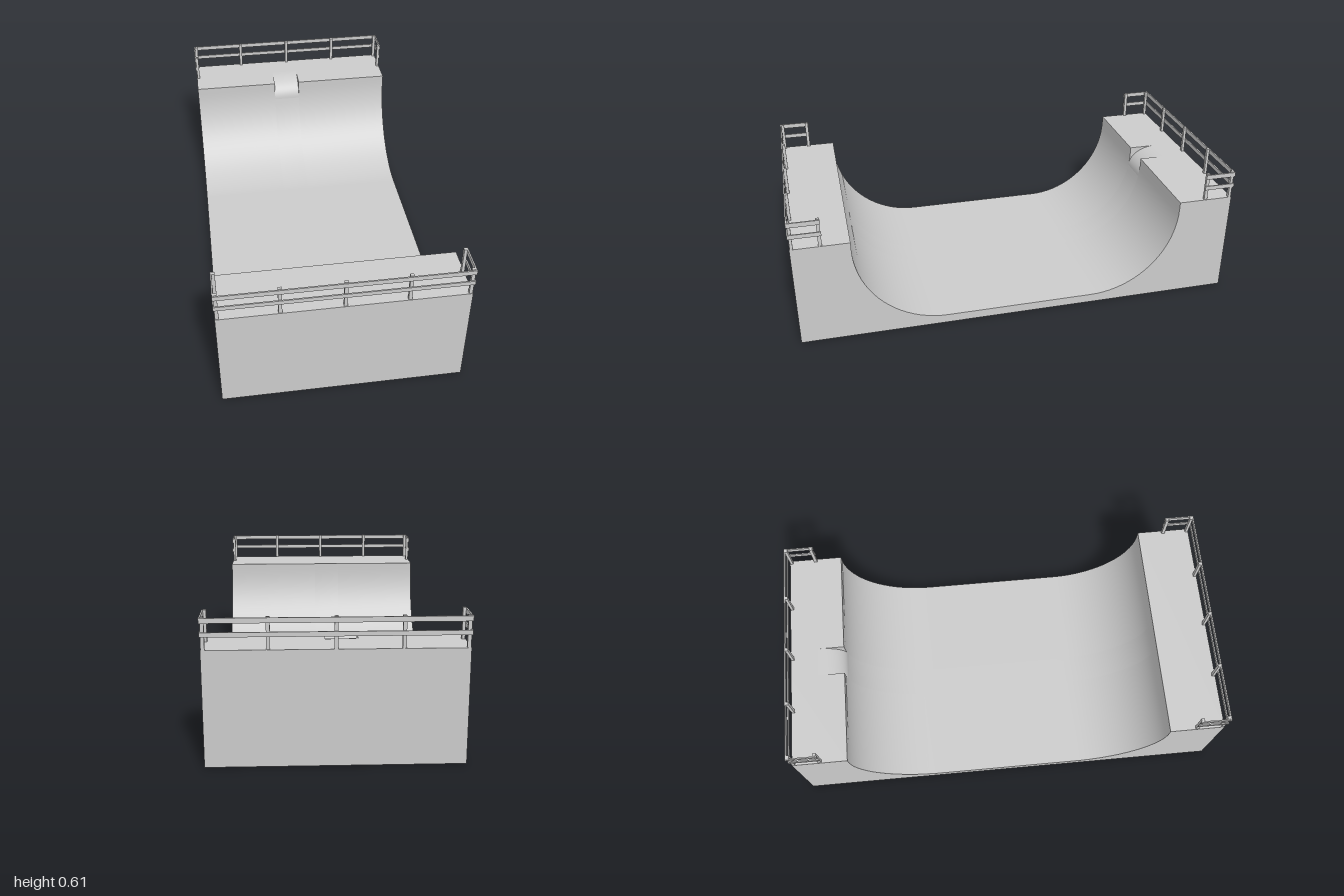
import * as THREE from 'three';

const HALF_W = 0.517, END_Z = 0.997, DECK_Y = 0.478;
const LIP_Z = 0.745, FLAT_Z = 0.34, R = LIP_Z - FLAT_Z, CENTRE_Y = 0.445;
const NOTCH = { x0: -0.093, x1: 0.04, z: -0.87 };
const STEPS = 20, NOTCH_STEP = 2;

const material = new THREE.MeshStandardMaterial({ color: 0xcccccc, side: THREE.DoubleSide });

function add(parent, name, geometry) {
  const mesh = new THREE.Mesh(geometry, material);
  mesh.name = name;
  parent.add(mesh);
  return mesh;
}

// Sheet made by sweeping a [z, y] profile from x0 to x1
function sheet(profile, x0, x1) {
  const positions = [], index = [];
  profile.forEach(([z, y], i) => {
    positions.push(x0, y, z, x1, y, z);
    if (i) {
      const a = 2 * i - 2;
      index.push(a, a + 2, a + 1, a + 1, a + 2, a + 3);
    }
  });
  const g = new THREE.BufferGeometry();
  g.setAttribute('position', new THREE.Float32BufferAttribute(positions, 3));
  g.setIndex(index);
  g.computeVertexNormals();
  return g;
}

// Flat panel across x from a [z, y] outline
function panel(outline, x) {
  const shape = new THREE.Shape(outline.map(([z, y]) => new THREE.Vector2(z, y)));
  return new THREE.ShapeGeometry(shape).rotateY(-Math.PI / 2).translate(x, 0, 0);
}

// Half of the ramp profile, from the back lip down to the flat
function backCurve() {
  const pts = [[-LIP_Z, DECK_Y]];
  for (let i = 0; i <= STEPS; i++) {
    const a = (i / STEPS) * Math.PI / 2;
    pts.push([-FLAT_Z - R * Math.cos(a), CENTRE_Y - R * Math.sin(a)]);
  }
  return pts;
}

// Boards and posts along three edges of a deck (front deck; the back one is mirrored)
function createRailing() {
  const railing = new THREE.Group();
  const box = (name, w, h, d, x, y, z) =>
    add(railing, name, new THREE.BoxGeometry(w, h, d)).position.set(x, y, z);
  const postH = 0.129, postY = DECK_Y + postH / 2, t = 0.006;
  for (const x of [-0.508, -0.26, 0, 0.26, 0.508]) box('post', 0.015, postH, 0.013, x, postY, 0.988);
  for (const s of [-1, 1]) box('endPost', 0.013, postH, 0.015, s * 0.508, postY, 0.87);
  for (const [name, y, h] of [['topRail', 0.594, 0.021], ['middleRail', 0.539, 0.019]]) {
    box(name, 1.04, h, t, 0, y, 0.997);
    for (const s of [-1, 1]) box(name + 'Return', t, h, 0.137, s * 0.517, y, 0.9285);
  }
  return railing;
}

export function createModel() {
  const model = new THREE.Group();
  model.name = 'halfPipe';

  const back = backCurve();
  const front = back.map(([z, y]) => [-z, y]).reverse();
  const ramp = [...back, ...front];

  // Ramp surface and back deck, split around the roll-in notch
  const ramps = new THREE.Group();
  ramps.name = 'ridingSurface';
  model.add(ramps);
  const { x0, x1 } = NOTCH;
  for (const [a, b] of [[-HALF_W, x0], [x1, HALF_W]]) {
    add(ramps, 'ramp', sheet(ramp, a, b));
    add(ramps, 'backDeck', sheet([[-END_Z, DECK_Y], [-LIP_Z, DECK_Y]], a, b));
  }
  const first = 1 + NOTCH_STEP;
  add(ramps, 'rampBelowNotch', sheet(ramp.slice(first), x0, x1));
  add(ramps, 'deckBehindNotch', sheet([[-END_Z, DECK_Y], [NOTCH.z, DECK_Y]], x0, x1));
  add(ramps, 'frontDeck', sheet([[LIP_Z, DECK_Y], [END_Z, DECK_Y]], -HALF_W, HALF_W));

  // Rounded roll-in with its two cheeks
  const [endZ, endY] = ramp[first];
  const roll = [];
  for (let i = 0; i <= 12; i++) {
    const a = (i / 12) * Math.PI / 2;
    roll.push([NOTCH.z + (endZ - NOTCH.z) * Math.sin(a), endY + (DECK_Y - endY) * Math.cos(a)]);
  }
  add(ramps, 'rollIn', sheet(roll, x0, x1));
  const cheek = [...roll, ...ramp.slice(0, first).reverse()];
  for (const x of [x0, x1]) add(ramps, 'rollInCheek', panel(cheek, x));

  // Outer walls; the underside stays open
  add(model, 'backWall', sheet([[-END_Z, 0], [-END_Z, DECK_Y]], -HALF_W, HALF_W));
  add(model, 'frontWall', sheet([[END_Z, DECK_Y], [END_Z, 0]], -HALF_W, HALF_W));
  const outline = [[-END_Z, 0], [END_Z, 0], [END_Z, DECK_Y], ...[...ramp].reverse(), [-END_Z, DECK_Y]];
  add(model, 'leftWall', panel(outline, HALF_W));
  add(model, 'rightWall', panel(outline, -HALF_W));

  // Railings
  const frontRailing = createRailing();
  frontRailing.name = 'frontRailing';
  const backRailing = createRailing();
  backRailing.name = 'backRailing';
  backRailing.rotation.y = Math.PI;
  model.add(frontRailing, backRailing);

  return model;
}
